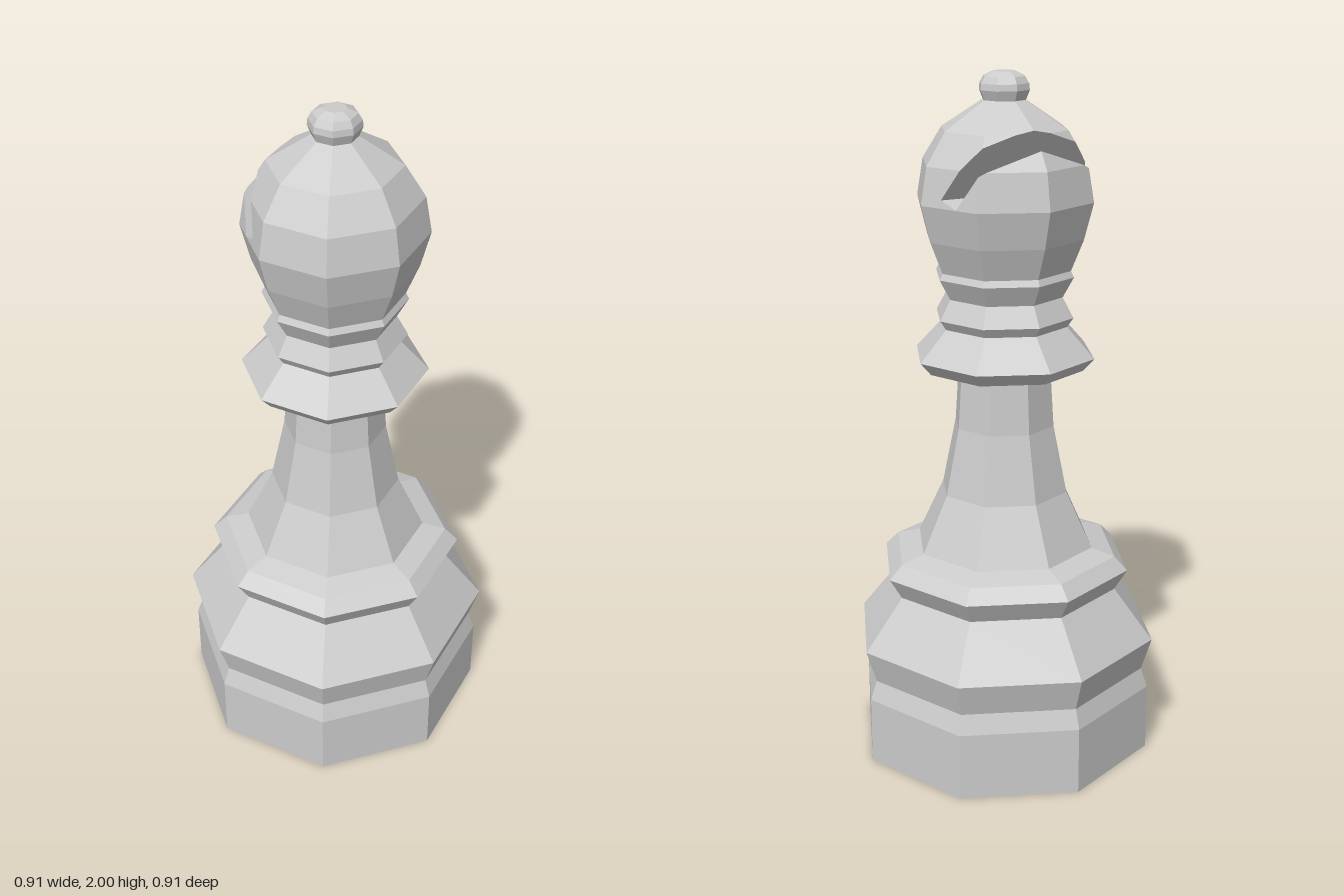
import * as THREE from 'three';

const SIDES = 8;
const material = new THREE.MeshStandardMaterial({ color: 0xcccccc, flatShading: true });

function addMesh(group, name, geometry) {
  const mesh = new THREE.Mesh(geometry, material);
  mesh.name = name;
  group.add(mesh);
}

// Eight-sided turned part from [radius, height] pairs, bottom to top
function turned(profile) {
  const flat = new THREE.LatheGeometry(profile.map(([r, y]) => new THREE.Vector2(r, y)), SIDES).toNonIndexed();
  flat.computeVertexNormals();
  return flat;
}

// Part of a convex polygon on the positive side of a plane
function clip(polygon, plane) {
  const result = [];
  polygon.forEach((p, i) => {
    const q = polygon[(i + 1) % polygon.length];
    const dp = plane.distanceToPoint(p), dq = plane.distanceToPoint(q);
    if (dp >= 0) result.push(p);
    if ((dp > 0 && dq < 0) || (dp < 0 && dq > 0)) result.push(p.clone().lerp(q, dp / (dp - dq)));
  });
  return result.length > 2 ? result : [];
}

function fromPolygons(polygons) {
  const points = [];
  for (const poly of polygons) {
    for (let i = 1; i < poly.length - 1; i++) points.push(poly[0], poly[i], poly[i + 1]);
  }
  const geometry = new THREE.BufferGeometry().setFromPoints(points);
  geometry.computeVertexNormals();
  return geometry;
}

// Faceted head with a slanted slot cut through it from side to side
function slottedHead(profile) {
  const faces = [];
  const at = ([r, y], i) => {
    const a = (i / SIDES) * Math.PI * 2;
    return new THREE.Vector3(r * Math.sin(a), y, r * Math.cos(a));
  };
  for (let j = 0; j < profile.length - 1; j++) {
    for (let i = 0; i < SIDES; i++) {
      faces.push([at(profile[j], i), at(profile[j], i + 1), at(profile[j + 1], i + 1), at(profile[j + 1], i)]);
    }
  }

  // Slot outline in [y, z]: down the front wall, across the floor, up the back wall
  const outline = [[2.032, -0.265], [1.672, -0.063], [1.651, -0.116], [1.957, -0.296]];
  const walls = [], slotPlanes = [];
  for (let k = 0; k < 3; k++) {
    const [p, q] = [outline[k], outline[k + 1]];
    const wall = [[-0.4, p], [0.4, p], [0.4, q], [-0.4, q]].map(([x, [y, z]]) => new THREE.Vector3(x, y, z));
    walls.push(wall);
    slotPlanes.push(new THREE.Plane().setFromCoplanarPoints(wall[0], wall[1], wall[2]));
  }

  // Outer skin, minus what lies inside the slot
  const polygons = [];
  for (const face of faces) {
    if (slotPlanes.reduce(clip, face).length === 0) {
      polygons.push(face);
      continue;
    }
    let rest = face;
    for (const k of [0, 2, 1]) {
      polygons.push(clip(rest, slotPlanes[k].clone().negate()));
      rest = clip(rest, slotPlanes[k]);
    }
  }

  // Slot walls, trimmed to the skin
  const inward = faces.map((f) => new THREE.Plane().setFromCoplanarPoints(f[0], f[1], f[2]).negate());
  for (const wall of walls) polygons.push(inward.reduce(clip, wall));
  return fromPolygons(polygons);
}

export function createModel() {
  const group = new THREE.Group();
  group.name = 'chessBishop';

  addMesh(group, 'base', turned([
    [0, 0], [0.447, 0], [0.447, 0.2], [0.427, 0.257], [0.457, 0.355],
    [0.34, 0.505], [0.377, 0.568], [0.338, 0.608], [0.268, 0.628],
  ]));
  addMesh(group, 'shaft', turned([[0.268, 0.628], [0.19, 0.795], [0.149, 0.995], [0.138, 1.168]]));
  addMesh(group, 'collar', turned([
    [0.138, 1.168], [0.235, 1.168], [0.267, 1.205], [0.186, 1.293], [0.204, 1.32],
    [0.172, 1.378], [0.204, 1.437], [0.195, 1.455],
  ]));
  addMesh(group, 'head', slottedHead([
    [0.195, 1.455], [0.231, 1.545], [0.258, 1.65], [0.24, 1.755], [0.183, 1.845], [0.062, 1.923],
  ]));
  addMesh(group, 'finial', turned([
    [0.062, 1.923], [0.073, 1.95], [0.071, 1.968], [0.06, 1.987], [0.032, 2], [0, 2],
  ]));
  return group;
}
